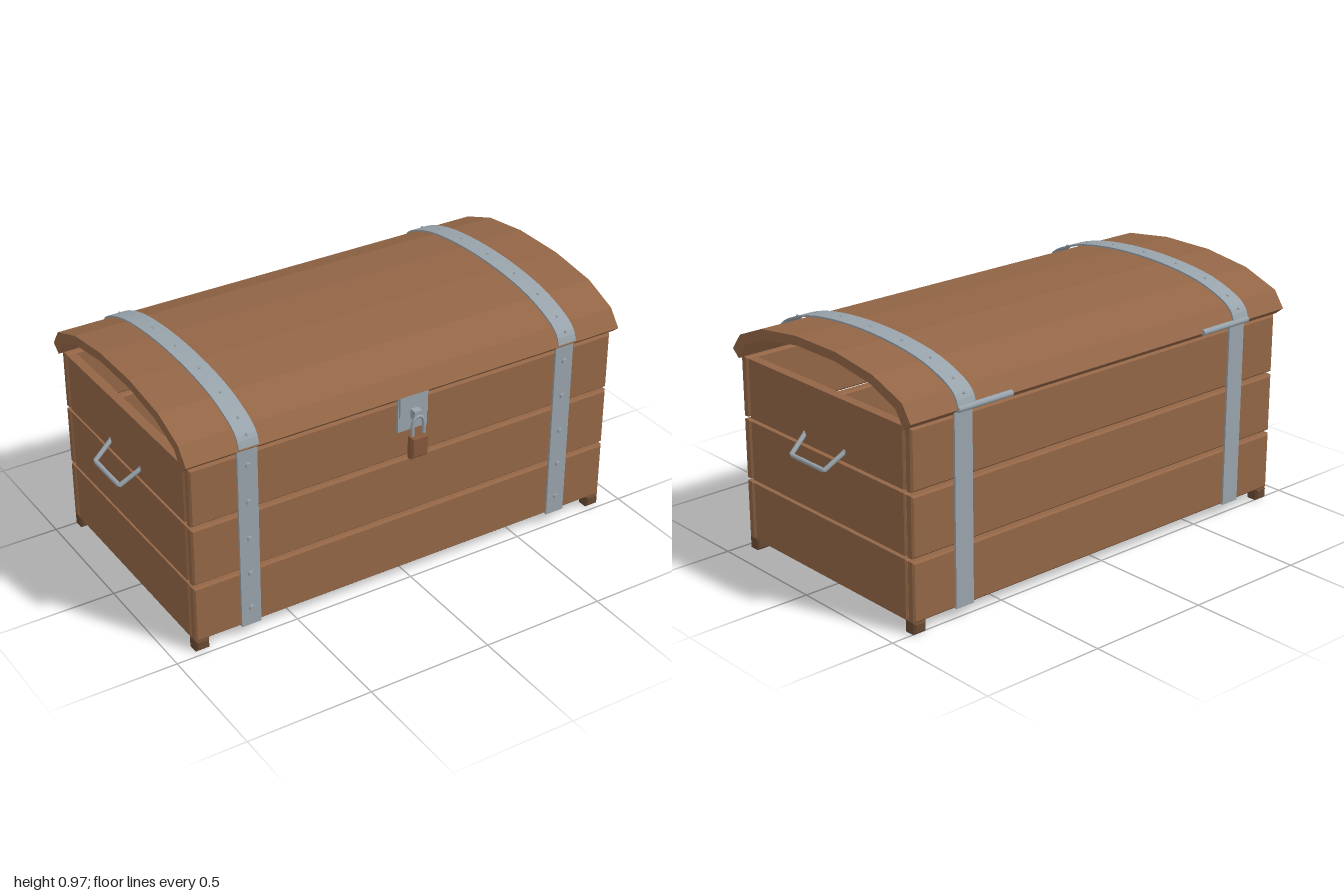
import * as THREE from 'three';

const mat = (name, color) => Object.assign(new THREE.MeshStandardMaterial({ color }), { name });

export function createModel() {
  const chest = new THREE.Group();
  chest.name = 'chest';
  const wood = mat('wood', 0x936646);
  const darkWood = mat('dark wood', 0x684a32);
  const iron = mat('iron', 0x98a3ab);
  const padlockBrown = mat('padlock brown', 0x85573a);

  const add = (name, geo, material, x = 0, y = 0, z = 0) => {
    const m = new THREE.Mesh(geo, material);
    m.name = name;
    m.position.set(x, y, z);
    chest.add(m);
    return m;
  };

  // Box given by its limits
  const box = (name, material, x0, x1, y0, y1, z0, z1) =>
    add(name, new THREE.BoxGeometry(x1 - x0, y1 - y0, z1 - z0), material,
      (x0 + x1) / 2, (y0 + y1) / 2, (z0 + z1) / 2);

  // Box with chamfered edges
  const chamferBox = (name, material, x0, x1, y0, y1, z0, z1, c = 0.007) => {
    const w = (x1 - x0) / 2 - c, h = (y1 - y0) / 2 - c, d = z1 - z0 - 2 * c;
    const s = new THREE.Shape([[-w, -h], [w, -h], [w, h], [-w, h]].map(p => new THREE.Vector2(...p)));
    const g = new THREE.ExtrudeGeometry(s, {
      depth: d, bevelEnabled: true, bevelSize: c, bevelThickness: c, bevelSegments: 1,
    });
    g.translate(0, 0, -d / 2);
    return add(name, g, material, (x0 + x1) / 2, (y0 + y1) / 2, (z0 + z1) / 2);
  };

  // Profile in (z, y), extruded along x about the centre
  const sideExtrude = (pts, width) => {
    const g = new THREE.ExtrudeGeometry(new THREE.Shape(pts), { depth: width, bevelEnabled: false });
    g.translate(0, 0, -width / 2);
    return g.rotateY(-Math.PI / 2);
  };
  const v2 = list => list.map(p => new THREE.Vector2(...p));

  // Three rows of planks with open gaps
  for (const [y0, y1] of [[0.045, 0.277], [0.29, 0.525], [0.538, 0.772]]) {
    chamferBox('frontPlank', wood, -0.91, 0.91, y0, y1, 0.443, 0.48);
    chamferBox('backPlank', wood, -0.91, 0.91, y0, y1, -0.51, -0.473);
    for (const s of [-1, 1]) {
      const xs = [s * 0.873, s * 0.91].sort((a, b) => a - b);
      chamferBox('sidePlank', wood, xs[0], xs[1], y0, y1, -0.47, 0.44);
    }
  }
  box('floor', wood, -0.9, 0.9, 0.043, 0.065, -0.5, 0.47);

  // Feet
  for (const x of [-0.882, 0.882]) for (const z of [-0.482, 0.453])
    chamferBox('foot', darkWood, x - 0.028, x + 0.028, 0, 0.046, z - 0.028, z + 0.028, 0.008);

  // Curved lid, open at both ends
  const lidOuter = [[0.5, 0.8], [0.45, 0.865], [0.31, 0.922], [0.1, 0.95],
    [-0.13, 0.95], [-0.335, 0.922], [-0.49, 0.865], [-0.535, 0.8]];
  const lidInner = [[-0.497, 0.77], [-0.455, 0.835], [-0.32, 0.887], [-0.125, 0.915],
    [0.095, 0.915], [0.285, 0.887], [0.418, 0.835], [0.465, 0.77]];
  add('lid', sideExtrude(v2([...lidOuter, ...lidInner]), 1.86), wood);

  // Strap curve over the lid
  const arc = new THREE.SplineCurve(v2([[0.503, 0.808], [0.485, 0.85], [0.43, 0.888], [0.31, 0.929],
    [0.16, 0.952], [-0.015, 0.96], [-0.19, 0.952], [-0.345, 0.929], [-0.465, 0.888], [-0.52, 0.85], [-0.538, 0.808]]));
  const outer = arc.getPoints(30);
  const inner = outer.map((p, i) => {
    const t = arc.getTangent(i / 30);
    return new THREE.Vector2(p.x + t.y * -0.007, p.y + t.x * 0.007);
  });
  const strapGeo = sideExtrude([...outer, ...inner.reverse()], 0.08);
  const rivetGeo = new THREE.CylinderGeometry(0.009, 0.011, 0.008, 8).rotateX(Math.PI / 2);

  for (const s of [-1, 1]) {
    const x = s * 0.685;
    // Iron straps with rivets
    add('lidStrap', strapGeo, iron, x);
    box('frontStrap', iron, x - 0.04, x + 0.04, 0.045, 0.8, 0.479, 0.489);
    box('backStrap', iron, x - 0.04, x + 0.04, 0.045, 0.8, -0.518, -0.509);
    for (const y of [0.12, 0.27, 0.42, 0.575, 0.727]) add('rivet', rivetGeo, iron, x, y, 0.492);
    for (let i = 1; i < 10; i++) {
      const p = arc.getPoint(i / 10);
      add('lidRivet', new THREE.SphereGeometry(0.006, 6, 4), iron, x, p.y, p.x);
    }

    // Hinge pin along the back edge
    const hinge = add('hinge', new THREE.CylinderGeometry(0.012, 0.012, 0.245, 10), iron, s * 0.602, 0.802, -0.533);
    hinge.rotation.z = Math.PI / 2;

    // Drop handle on each end
    const path = new THREE.CurvePath();
    const pts = [[0.905, 0.577, 0.1], [0.985, 0.52, 0.08], [0.985, 0.52, -0.115], [0.905, 0.577, -0.135]]
      .map(p => new THREE.Vector3(p[0] * s, p[1], p[2]));
    for (let i = 0; i < 3; i++) path.add(new THREE.LineCurve3(pts[i], pts[i + 1]));
    add('handle', new THREE.TubeGeometry(path, 36, 0.009, 8), iron);
    for (const p of [pts[0], pts[3]])
      add('handleMount', new THREE.SphereGeometry(0.011, 8, 6), iron, p.x, p.y, p.z);
  }

  // Hasp: tapered flap over a back plate
  const flap = new THREE.Shape(v2([[-0.06, 0.8], [-0.06, 0.715], [-0.03, 0.68], [0.03, 0.68], [0.06, 0.715], [0.06, 0.8]]));
  add('haspFlap', new THREE.ExtrudeGeometry(flap, { depth: 0.01, bevelEnabled: false }), iron, 0, 0, 0.49);
  box('haspPlate', iron, -0.063, 0.063, 0.653, 0.795, 0.479, 0.491);
  box('staple', iron, -0.016, 0.016, 0.708, 0.745, 0.495, 0.53);

  // Padlock hanging from the staple
  const loop = new THREE.CurvePath();
  const top = new THREE.CatmullRomCurve3([[-0.024, 0.64], [-0.024, 0.69], [-0.017, 0.715], [0, 0.724],
    [0.017, 0.715], [0.024, 0.69], [0.024, 0.64]].map(p => new THREE.Vector3(p[0], p[1], 0.528)));
  loop.add(top);
  add('shackle', new THREE.TubeGeometry(loop, 24, 0.007, 8), iron);
  chamferBox('padlockBody', padlockBrown, -0.038, 0.038, 0.557, 0.648, 0.51, 0.546, 0.009);

  return chest;
}
